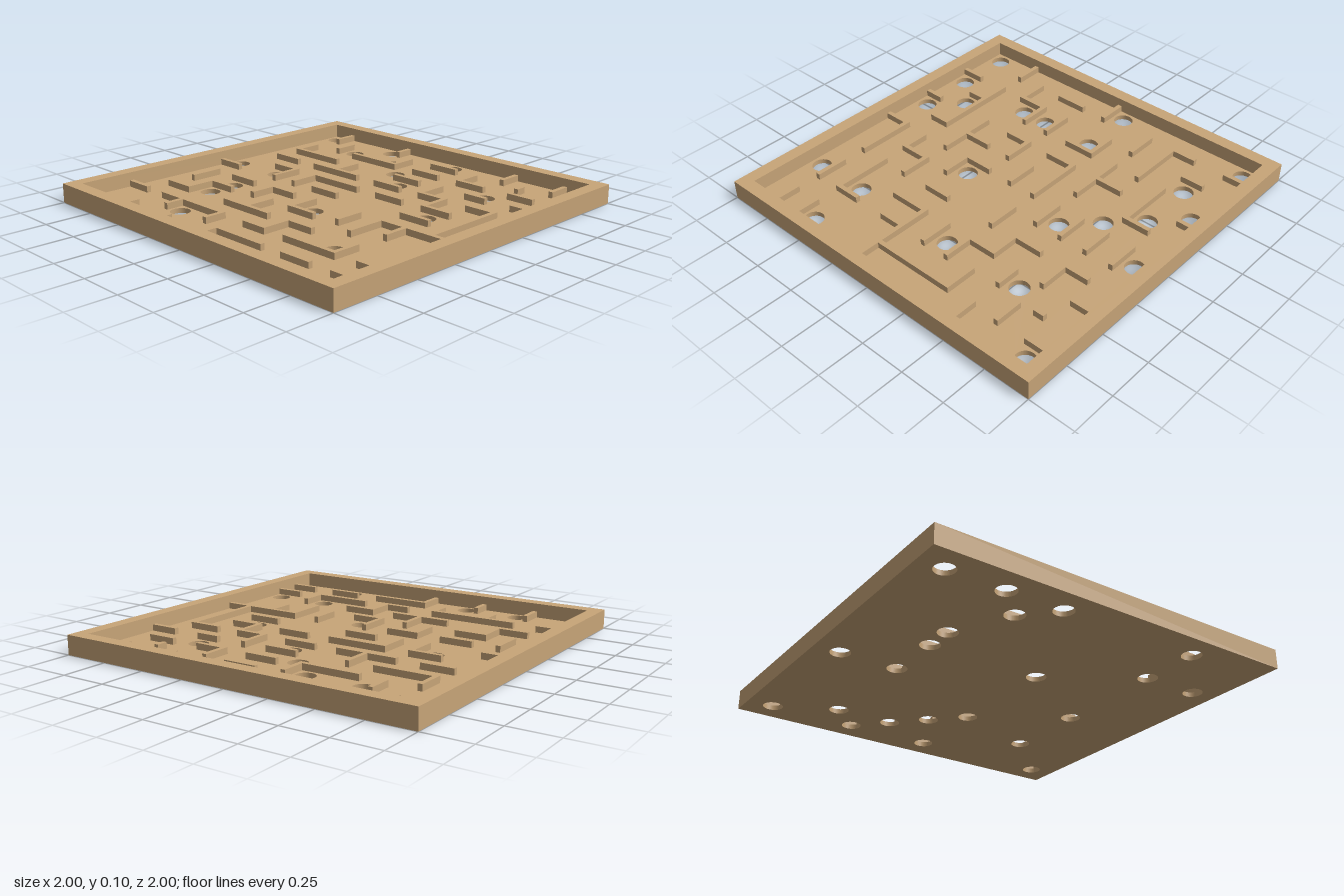
import * as THREE from 'three';

const CELL = 0.1565, HALF = 0.0125, INNER = 0.928, HEIGHT = 0.104, FLOOR = 0.026, WALL_TOP = 0.06;

const wood = new THREE.MeshStandardMaterial({ color: 0xc8a578 });
wood.name = 'wood';

// Position of grid line k, 0 to 12
const line = (k) => (k - 6) * CELL;
const clip = (v) => THREE.MathUtils.clamp(v, -INNER, INNER);

// Holes as [column, row] of the 12 x 12 grid
const HOLES = [
  [0, 0], [3, 0], [6, 0], [11, 0], [2, 1], [4, 1], [5, 2], [9, 2], [6, 3], [0, 5], [2, 5],
  [9, 5], [2, 7], [6, 7], [2, 8], [9, 9], [11, 9], [3, 10], [0, 11], [2, 11], [4, 11], [9, 11],
];

// Walls running along x: for each row line, the [from, to] column lines
const ROWS = {
  1: [[6, 7]],
  2: [[3, 5], [6, 7], [8, 9], [10.16, 11]],
  3: [[1, 3], [6, 7], [9.16, 9.84], [11, 12]],
  4: [[1, 2], [3, 5], [6, 7], [8, 9], [10, 11]],
  5: [[2, 3], [4, 6], [7, 8], [9, 10]],
  6: [[0, 1], [5, 6], [9, 10]],
  7: [[2, 3], [4, 5], [9, 12]],
  8: [[2, 3], [6, 7]],
  9: [[1, 2], [4, 6], [7, 8]],
  10: [[0, 1], [2, 5], [6.16, 7], [8, 10], [11, 12]],
  11: [[6, 8], [9, 10], [11, 12]],
};

// Walls running along z: for each column line, the [from, to] row lines
const COLUMNS = {
  1: [[0, 0.84], [2.16, 3], [7, 8]],
  2: [[1.16, 1.84], [8, 9], [11.16, 12]],
  3: [[5, 6], [10, 10.62]],
  4: [[0, 0.62], [3, 4], [5, 6], [7, 7.84], [11.32, 12]],
  5: [[1.16, 2], [8, 9], [10, 10.62]],
  6: [[7, 8], [11, 12]],
  7: [[9, 10]],
  8: [[1.16, 2], [3, 4], [7, 7.84]],
  9: [[0, 0.84], [4, 5], [7, 8.33]],
  10: [[1.16, 1.39], [7, 7.84], [9.16, 10]],
  11: [[0, 0.84], [4, 7]],
};

function rectangle(half) {
  return [[-half, -half], [half, -half], [half, half], [-half, half]].map(([x, y]) => new THREE.Vector2(x, y));
}

// Extrudes a plan drawn in x and z upward from y = 0
function slab(shape, height, name) {
  const geometry = new THREE.ExtrudeGeometry(shape, { depth: height, bevelEnabled: false, curveSegments: 32 });
  geometry.rotateX(Math.PI / 2).translate(0, height, 0);
  const mesh = new THREE.Mesh(geometry, wood);
  mesh.name = name;
  return mesh;
}

function wall(k, from, to, alongX) {
  const a = clip(line(from) - HALF), b = clip(line(to) + HALF);
  const height = WALL_TOP - FLOOR;
  const geometry = new THREE.BoxGeometry(alongX ? b - a : 2 * HALF, height, alongX ? 2 * HALF : b - a);
  const mesh = new THREE.Mesh(geometry, wood);
  const middle = (a + b) / 2, y = FLOOR + height / 2;
  if (alongX) mesh.position.set(middle, y, line(k));
  else mesh.position.set(line(k), y, middle);
  mesh.name = alongX ? 'crossWall' : 'lengthWall';
  return mesh;
}

export function createModel() {
  const model = new THREE.Group();
  model.name = 'mazeTray';

  // Raised rim
  const rim = new THREE.Shape(rectangle(1));
  rim.holes.push(new THREE.Path(rectangle(INNER)));
  model.add(slab(rim, HEIGHT, 'rim'));

  // Floor with round holes
  const floor = new THREE.Shape(rectangle(INNER));
  for (const [column, row] of HOLES) {
    floor.holes.push(new THREE.Path().absarc(line(column + 0.5), line(row + 0.5), 0.052, 0, Math.PI * 2, true));
  }
  model.add(slab(floor, FLOOR, 'floor'));

  // Maze walls
  const walls = new THREE.Group();
  walls.name = 'mazeWalls';
  for (const [table, alongX] of [[ROWS, true], [COLUMNS, false]]) {
    for (const [k, spans] of Object.entries(table)) {
      for (const [from, to] of spans) walls.add(wall(Number(k), from, to, alongX));
    }
  }
  model.add(walls);
  return model;
}
